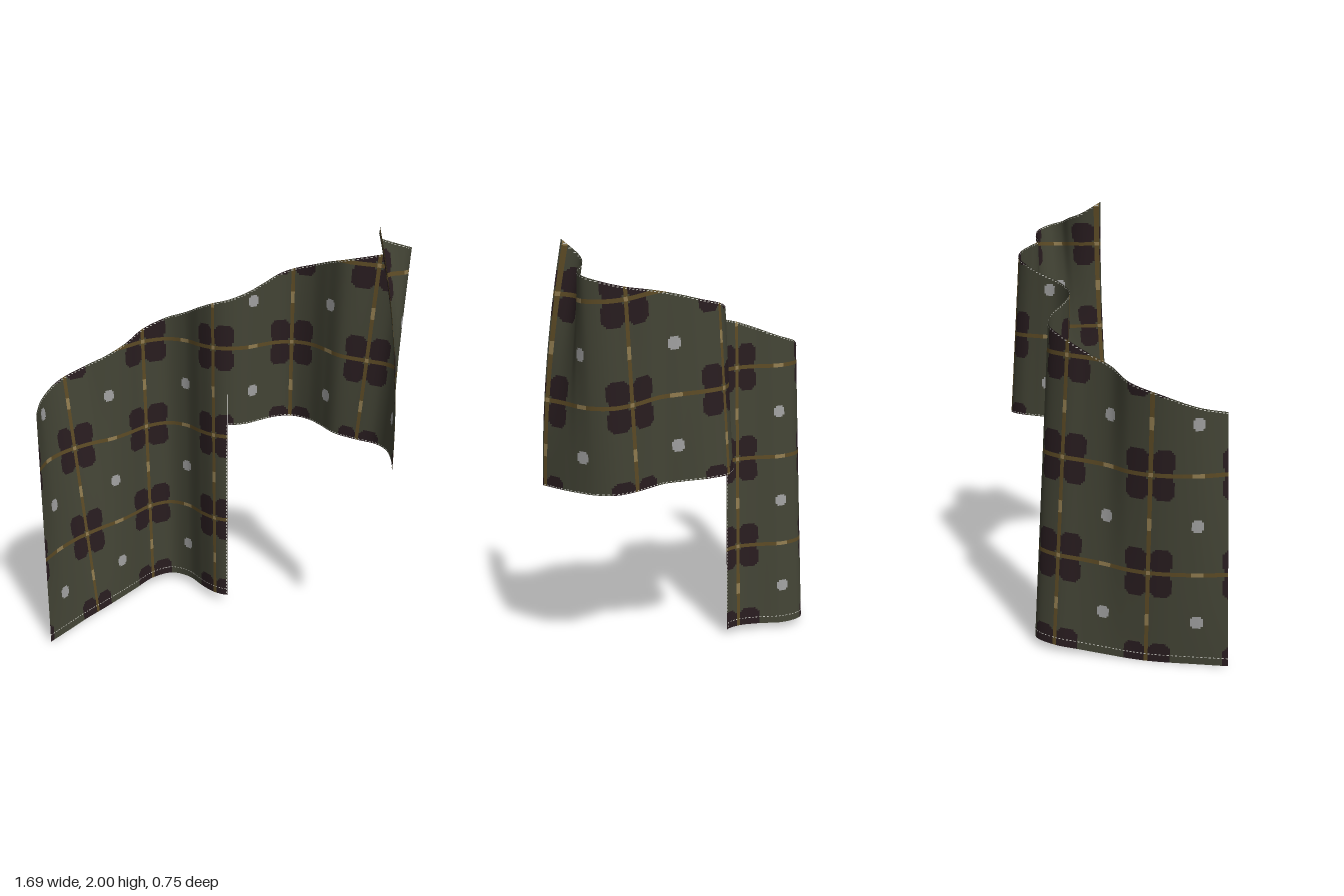
import * as THREE from 'three';

const { lerp, smoothstep } = THREE.MathUtils;
const TILE_U = 0.447;      // plaid repeat along the cloth
const TILE_V = 0.45;       // plaid repeat upward
const LINE_U = 0.28;       // first upright stripe
const LINE_V = -0.023;     // first level stripe
const START = -0.08;
const JOIN = 1.25;         // where the long panel meets the short one
const END = 2.53;
const SHORT_BOTTOM = 0.935;

// Lower edge of the folds: distance along cloth, x, z
const LOWER = [
  [START, -0.81, 0.37], [0.065, -0.745, 0.235], [0.21, -0.68, 0.1], [0.365, -0.61, -0.02],
  [0.47, -0.56, -0.1], [0.59, -0.495, -0.205], [0.727, -0.425, -0.315], [0.84, -0.33, -0.375],
  [0.95, -0.23, -0.335], [1.07, -0.145, -0.235], [1.174, -0.07, -0.165], [JOIN, 0, -0.14],
  [1.35, 0.08, -0.165], [1.45, 0.155, -0.24], [1.55, 0.225, -0.305], [1.621, 0.3, -0.33],
  [1.72, 0.39, -0.285], [1.82, 0.46, -0.205], [1.92, 0.52, -0.13], [2.068, 0.63, -0.075],
  [2.16, 0.715, -0.03], [2.235, 0.765, 0.05], [2.375, 0.785, 0.19], [END, 0.785, 0.33],
];
// Upper edge: distance along cloth, x, z, height
const UPPER = [
  [START, -0.83, 0.33, 1.145], [0.06, -0.842, 0.19, 1.175], [0.24, -0.8, 0.05, 1.225], [0.38, -0.7, -0.06, 1.27],
  [0.51, -0.59, -0.1, 1.32], [0.62, -0.51, -0.17, 1.365], [0.727, -0.44, -0.25, 1.42], [0.84, -0.33, -0.3, 1.47],
  [0.95, -0.23, -0.27, 1.505], [1.07, -0.145, -0.185, 1.55], [1.174, -0.075, -0.135, 1.58], [JOIN, 0, -0.12, 1.6],
  [1.35, 0.085, -0.145, 1.63], [1.45, 0.16, -0.21, 1.665], [1.55, 0.235, -0.265, 1.705], [1.621, 0.305, -0.28, 1.73],
  [1.72, 0.4, -0.25, 1.755], [1.82, 0.475, -0.185, 1.78], [1.92, 0.55, -0.12, 1.8], [2.068, 0.71, -0.09, 1.83],
  [2.16, 0.8, -0.05, 1.855], [2.25, 0.84, 0.025, 1.88], [2.32, 0.81, 0.075, 1.895], [2.39, 0.745, 0.1, 1.915],
  [2.46, 0.695, 0.155, 1.94], [END, 0.685, 0.26, 2],
];

// Smooth curve through a table, looked up by distance along the cloth
function edgeCurve(table) {
  const curve = new THREE.CatmullRomCurve3(
    table.map(([, x, z, y = 0]) => new THREE.Vector3(x, y, z)), false, 'centripetal');
  return (u) => {
    let i = 0;
    while (i < table.length - 2 && u > table[i + 1][0]) i++;
    const f = (u - table[i][0]) / (table[i + 1][0] - table[i][0]);
    return curve.getPoint(THREE.MathUtils.clamp((i + f) / (table.length - 1), 0, 1));
  };
}
const lowerEdge = edgeCurve(LOWER);
const upperEdge = edgeCurve(UPPER);

// Slight rise of the weave in the middle of the cloth
const sag = (u) => 0.035 * (smoothstep(u, 0.25, 0.9) - smoothstep(u, 1.65, 2.15));
const topOf = (u) => upperEdge(u).y - sag(u);

// Upright section of the cloth at distance u, as a function of height v on the weave
function section(u, vMin) {
  const low = lowerEdge(u);
  const high = upperEdge(u);
  const lift = sag(u);
  const bow = 0.14 * smoothstep(u, 2.25, 2.5);
  return (v) => {
    const t = (v - vMin) / (high.y - lift - vMin);
    return new THREE.Vector3(lerp(low.x, high.x, t) + bow * t * (1 - t), v + lift, lerp(low.z, high.z, t));
  };
}

// Grid positions aligned with the plaid, within a range
function gridLines(origin, step, from, to) {
  const list = [from];
  for (let k = Math.ceil((from - origin) / step); origin + k * step < to - 0.001; k++) {
    if (origin + k * step > from + 0.001) list.push(origin + k * step);
  }
  return [...list, to];
}

// Colour of the weave: 0 ground, 1 patch, 2 stripe, 3 pale stripe, 4 dot
function weave(u, v) {
  const wrap = (d, tile) => Math.abs(d - tile * Math.round(d / tile));
  const a = wrap(u - LINE_U, TILE_U);
  const b = wrap(v - LINE_V, TILE_V);
  const pale = (d) => d < 0.011 || d > 0.2;
  if (a < 0.011) return pale(b) ? 3 : 2;
  if (b < 0.011) return pale(a) ? 3 : 2;
  if (Math.hypot(a - TILE_U / 2, b - TILE_V / 2) < 0.031) return 4;
  return Math.abs(a - 0.06) ** 3 + Math.abs(b - 0.059) ** 3 < 0.053 ** 3 ? 1 : 0;
}

// One panel of hanging cloth between two distances, from vMin to the sloping top
function clothPanel(name, from, to, vMin, materials) {
  const us = gridLines(LINE_U, TILE_U / 48, from, to);
  const vs = gridLines(LINE_V, TILE_V / 48, vMin, 2.03);
  const rows = vs.length;
  const tops = us.map(topOf);
  const points = us.flatMap((u, i) => {
    const at = section(u, vMin);
    return vs.map((v) => at(Math.min(v, tops[i])));
  });
  // Sort the cells by colour
  const buckets = materials.map(() => []);
  for (let i = 0; i < us.length - 1; i++) {
    for (let j = 0; j < rows - 1; j++) {
      const a = i * rows + j;
      const b = a + rows;
      const bucket = buckets[weave((us[i] + us[i + 1]) / 2, (vs[j] + vs[j + 1]) / 2)];
      if (vs[j] < tops[i + 1]) bucket.push(a, b, b + 1);
      if (vs[j] < tops[i]) bucket.push(a, b + 1, a + 1);
    }
  }
  const geometry = new THREE.BufferGeometry().setFromPoints(points);
  geometry.setIndex(buckets.flat());
  let start = 0;
  buckets.forEach((bucket, m) => {
    geometry.addGroup(start, bucket.length, m);
    start += bucket.length;
  });
  geometry.computeVertexNormals();
  const mesh = new THREE.Mesh(geometry, materials);
  mesh.name = name;
  return mesh;
}

// Thin dashes lying just off both faces; each dash is [u0, u1, v0, v1]
function stitching(name, dashes, vMin, material) {
  const points = [];
  for (const [u0, u1, v0, v1] of dashes) {
    const left = section(u0, vMin);
    const right = section(u1, vMin);
    const [a, b, c, d] = [left(v0), right(v0), right(v1), left(v1)];
    const normal = b.clone().sub(a).cross(d.clone().sub(a)).normalize();
    for (const side of [0.002, -0.002]) {
      const corners = [a, b, c, a, c, d].map((p) => p.clone().addScaledVector(normal, side));
      points.push(...(side > 0 ? corners : corners.reverse()));
    }
  }
  const geometry = new THREE.BufferGeometry().setFromPoints(points);
  geometry.computeVertexNormals();
  const mesh = new THREE.Mesh(geometry, material);
  mesh.name = name;
  return mesh;
}

// Row of dashes along the cloth at a height given by a rule
function dashRow(from, to, height) {
  const dashes = [];
  for (let u = from; u < to - 0.01; u += 0.018) {
    const v = height(u + 0.005);
    dashes.push([u, u + 0.01, v, v + 0.004]);
  }
  return dashes;
}

export function createModel() {
  const colours = [
    ['olive cloth', 0x444536], ['plum patch', 0x291d20], ['gold stripe', 0x5e4c26],
    ['pale gold stripe', 0x927d50], ['grey dot', 0xa2a2a2], ['white stitch', 0xd0d0c8],
  ];
  const materials = colours.map(([name, color]) => {
    const material = new THREE.MeshStandardMaterial({ color, side: THREE.DoubleSide });
    material.name = name;
    return material;
  });
  const white = materials.pop();
  const group = new THREE.Group();
  group.name = 'hangingCloth';
  group.add(clothPanel('longPanel', START, JOIN, 0, materials));
  group.add(clothPanel('shortPanel', JOIN, END, SHORT_BOTTOM, materials));

  // Stitched hems
  const sideDashes = [];
  for (let v = 0.01; v < SHORT_BOTTOM; v += 0.018) sideDashes.push([JOIN - 0.008, JOIN - 0.004, v, v + 0.01]);
  const belowTop = (u) => topOf(u) - 0.008;
  group.add(stitching('longPanelHem', dashRow(START, JOIN, () => 0.034), 0, white));
  group.add(stitching('sideHem', sideDashes, 0, white));
  group.add(stitching('longPanelTopHem', dashRow(START, JOIN, belowTop), 0, white));
  group.add(stitching('shortPanelTopHem', dashRow(JOIN, END, belowTop), SHORT_BOTTOM, white));
  group.add(stitching('shortPanelHem', dashRow(JOIN, END, () => SHORT_BOTTOM + 0.004), SHORT_BOTTOM, white));
  return group;
}
